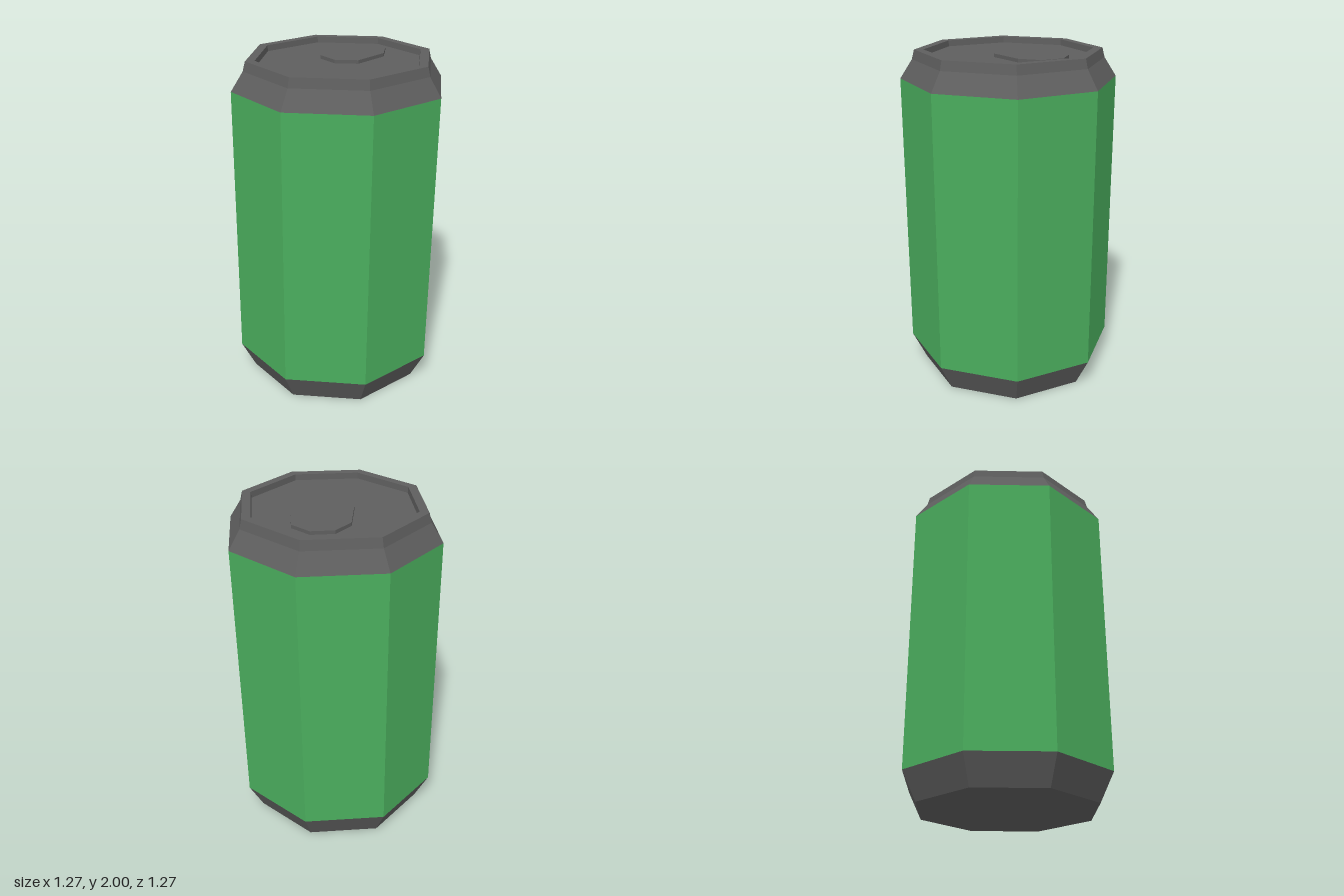
import * as THREE from 'three';

const SIDES = 8;

// Slight lean of the whole can, as a shear about mid height, then faceted normals
function finish(geometry) {
  const g = geometry.index ? geometry.toNonIndexed() : geometry;
  const p = g.attributes.position;
  for (let i = 0; i < p.count; i++) {
    const h = p.getY(i) - 1;
    p.setX(i, p.getX(i) + 0.01 * h);
    p.setZ(i, p.getZ(i) - 0.006 * h);
  }
  g.computeVertexNormals();
  return g;
}

// Eight-sided ring from [radius, height] pairs, listed from bottom to top
function ring(name, profile, material) {
  const points = profile.map(([r, y]) => new THREE.Vector2(r, y));
  const mesh = new THREE.Mesh(finish(new THREE.LatheGeometry(points, SIDES)), material);
  mesh.name = name;
  return mesh;
}

// Flat eight-sided disc facing up or down
function disc(name, radius, y, up, material) {
  const g = new THREE.CircleGeometry(radius, SIDES);
  g.rotateX(up ? -Math.PI / 2 : Math.PI / 2);
  g.translate(0, y, 0);
  const mesh = new THREE.Mesh(finish(g), material);
  mesh.name = name;
  return mesh;
}

export function createModel() {
  const green = new THREE.MeshStandardMaterial({ color: 0x4aad5d });
  green.name = 'green';
  const metal = new THREE.MeshStandardMaterial({ color: 0x5e5e5e });
  metal.name = 'darkMetal';

  const can = new THREE.Group();
  can.name = 'drinkCan';

  // Painted wall
  can.add(ring('body', [[0.628, 0.17], [0.628, 1.835]], green));

  // Tapered base
  can.add(ring('baseTaper', [[0.543, 0], [0.628, 0.17]], metal));
  can.add(disc('baseBottom', 0.543, 0, false, metal));

  // Shoulder, rim and the wall of the recess
  can.add(ring('shoulderAndRim', [
    [0.628, 1.835], [0.557, 1.945], [0.543, 2], [0.489, 2], [0.486, 1.965],
  ], metal));
  can.add(disc('lid', 0.486, 1.965, true, metal));

  // Pull tab, wider towards the back
  const half = [[0, 0.392], [0.122, 0.34], [0.172, 0.215], [0.122, -0.006], [0, -0.06]];
  const outline = [...half, ...half.slice(1, -1).reverse().map(([x, y]) => [-x, y])];
  const shape = new THREE.Shape(outline.map(([x, y]) => new THREE.Vector2(x, y)));
  const tabGeometry = new THREE.ExtrudeGeometry(shape, { depth: 0.02, bevelEnabled: false });
  tabGeometry.rotateX(-Math.PI / 2);
  tabGeometry.translate(0, 1.965, 0);
  const tab = new THREE.Mesh(finish(tabGeometry), metal);
  tab.name = 'pullTab';
  can.add(tab);

  return can;
}
